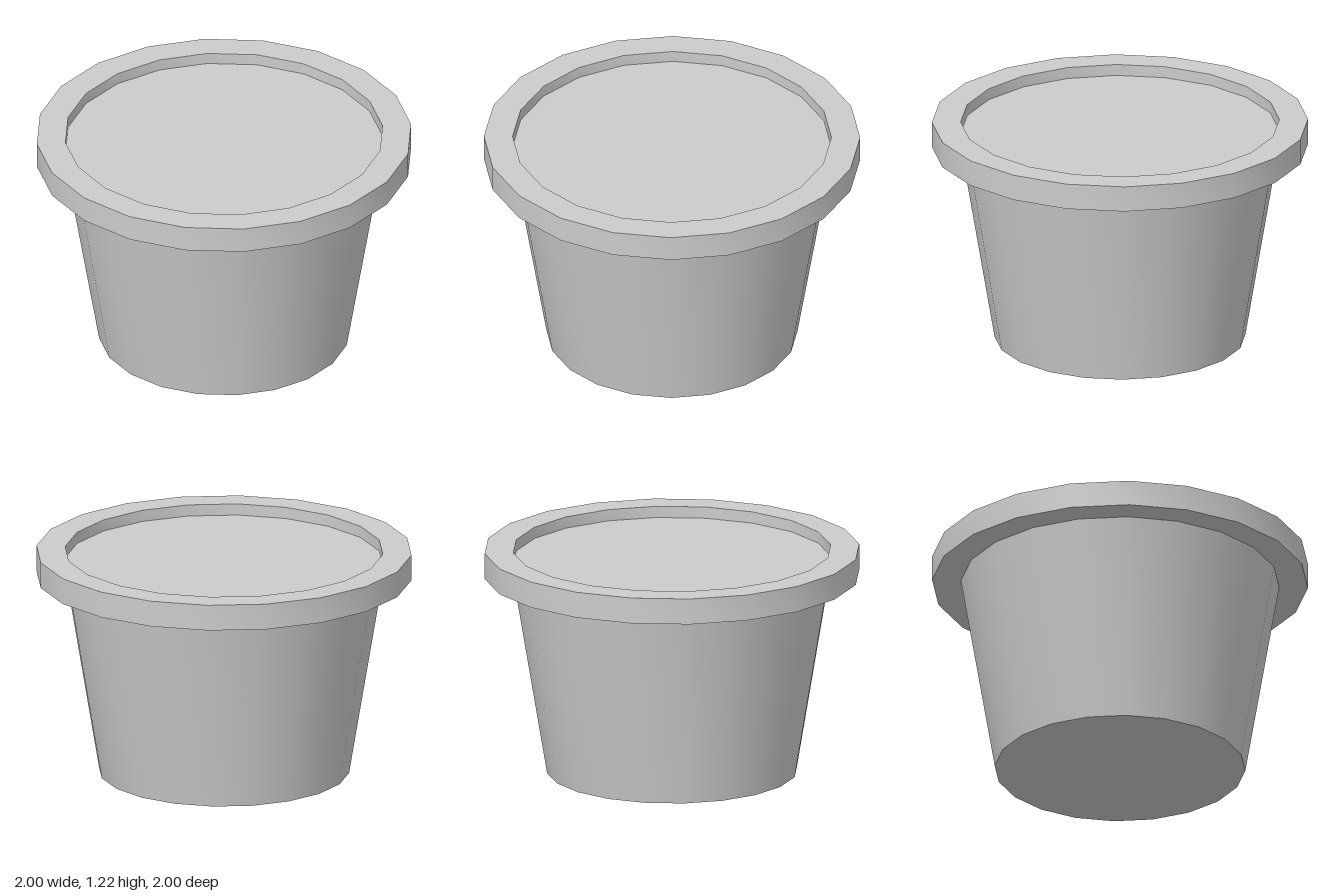
import * as THREE from 'three';
import { toCreasedNormals } from 'three/addons/utils/BufferGeometryUtils.js';

const SIDES = 20;
const material = new THREE.MeshStandardMaterial({ color: 0xcccccc });

// Turned part from [radius, height] points, smooth around with sharp profile edges
function turned(name, profile) {
  const points = profile.map(([r, y]) => new THREE.Vector2(r, y));
  const geometry = toCreasedNormals(new THREE.LatheGeometry(points, SIDES), Math.PI / 6);
  const mesh = new THREE.Mesh(geometry, material);
  mesh.name = name;
  return mesh;
}

export function createModel() {
  const pot = new THREE.Group();
  pot.name = 'flowerPot';

  // Tapered body with closed base
  pot.add(turned('body', [[0, 0], [0.667, 0], [0.847, 1.08]]));

  // Overhanging rim: underside, outer band, top and inner lip
  pot.add(turned('rim', [[0.847, 1.08], [1, 1.08], [1, 1.22], [0.847, 1.22], [0.847, 1.158]]));

  // Soil surface, slightly sunk below the rim
  const soil = new THREE.Mesh(new THREE.CircleGeometry(0.847, SIDES), material);
  soil.name = 'soil';
  soil.rotation.x = -Math.PI / 2;
  soil.position.y = 1.158;
  pot.add(soil);

  return pot;
}
